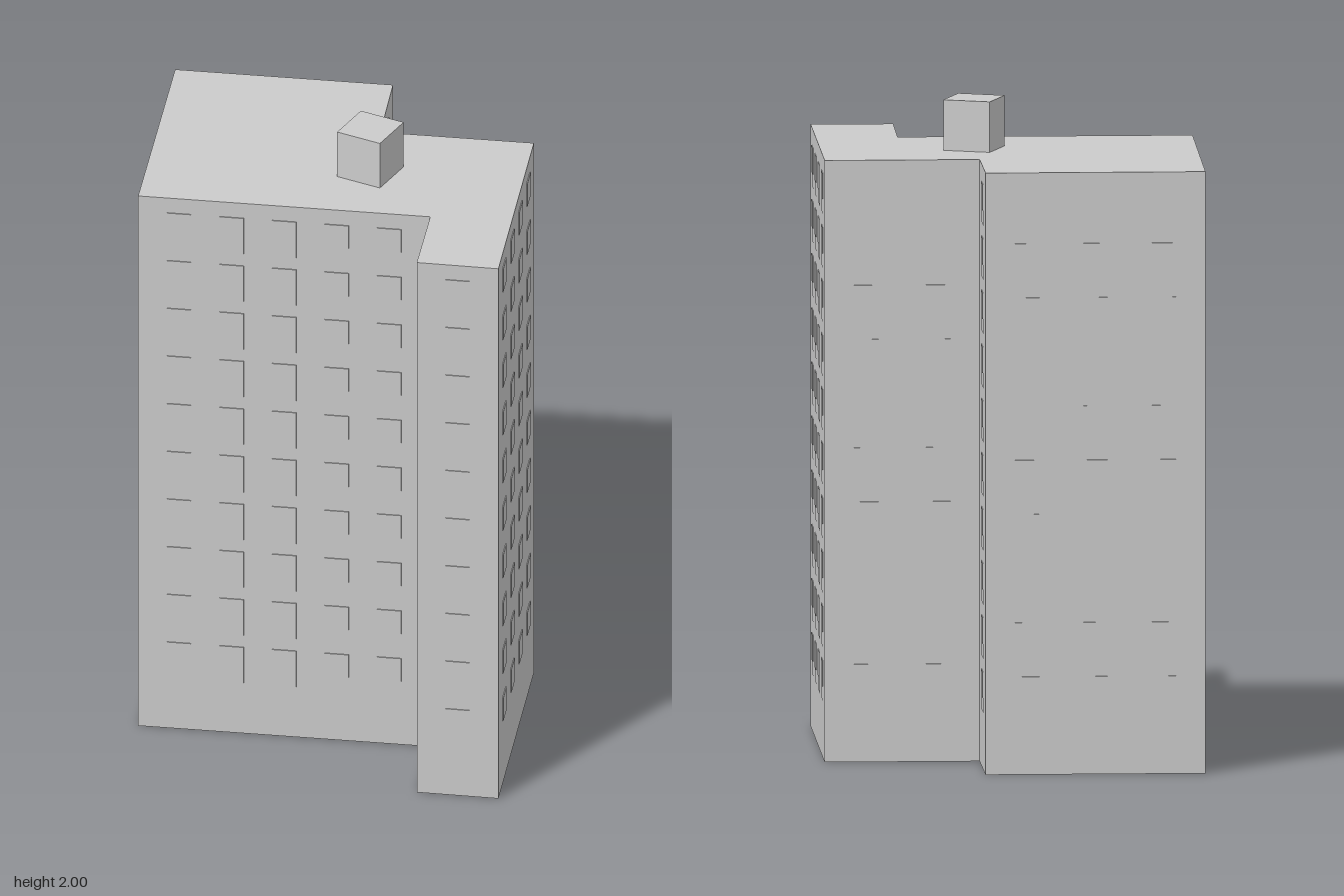
import * as THREE from 'three';
import { mergeGeometries } from 'three/addons/utils/BufferGeometryUtils.js';

const H = 1.845; // wall height
const ROWS = 10, ROW_STEP = 0.166, FIRST_ROW = 0.26, MARGIN = 0.126;

// Footprint corners [x, z] with the number of window columns on the wall to the next corner
const CORNERS = [
  [-0.45, 0.485, 5], [0.39, 0.172, 1], [0.49, 0.44, 1], [0.726, 0.355, 4],
  [0.446, -0.38, 2], [0.005, -0.215, 1], [-0.102, -0.49, 3], [-0.728, -0.256, 4],
];

export function createModel() {
  const model = new THREE.Group();
  const material = new THREE.MeshStandardMaterial({ color: 0xcccccc, side: THREE.DoubleSide, flatShading: true });
  const add = (name, geometry, parent = model) => {
    const mesh = new THREE.Mesh(geometry, material);
    mesh.name = name;
    parent.add(mesh);
    return mesh;
  };

  // Walls, open underneath, each with its grid of windows
  CORNERS.forEach(([x, z, columns], i) => {
    const [nx, nz] = CORNERS[(i + 1) % CORNERS.length];
    const length = Math.hypot(nx - x, nz - z);
    const side = new THREE.Group();
    side.name = `side${i + 1}`;
    side.position.set((x + nx) / 2, 0, (z + nz) / 2);
    side.rotation.y = Math.atan2(z - nz, nx - x);
    model.add(side);
    add('wall', new THREE.PlaneGeometry(length, H).translate(0, H / 2, 0), side);

    const panes = [], aprons = [];
    for (let c = 0; c < columns; c++) {
      const u = columns === 1 ? 0 : (c / (columns - 1) - 0.5) * (length - 2 * MARGIN);
      for (let r = 0; r < ROWS; r++) {
        const y = FIRST_ROW + r * ROW_STEP;
        panes.push(new THREE.BoxGeometry(0.074, 0.08, 0.006).translate(u, y, 0));
        // Almost flush panel below the pane
        aprons.push(new THREE.BoxGeometry(0.074, 0.045, 0.001).translate(u, y - 0.0625, 0));
      }
    }
    add('windows', mergeGeometries(panes), side);
    add('windowAprons', mergeGeometries(aprons), side);
  });

  // Flat roof
  const outline = new THREE.Shape(CORNERS.map(([x, z]) => new THREE.Vector2(x, -z)));
  add('roof', new THREE.ShapeGeometry(outline).rotateX(-Math.PI / 2).translate(0, H, 0));

  // Roof hut
  add('roofHut', new THREE.BoxGeometry(0.148, 2 - H, 0.15)).position.set(0.096, (2 + H) / 2, 0.014);

  return model;
}
